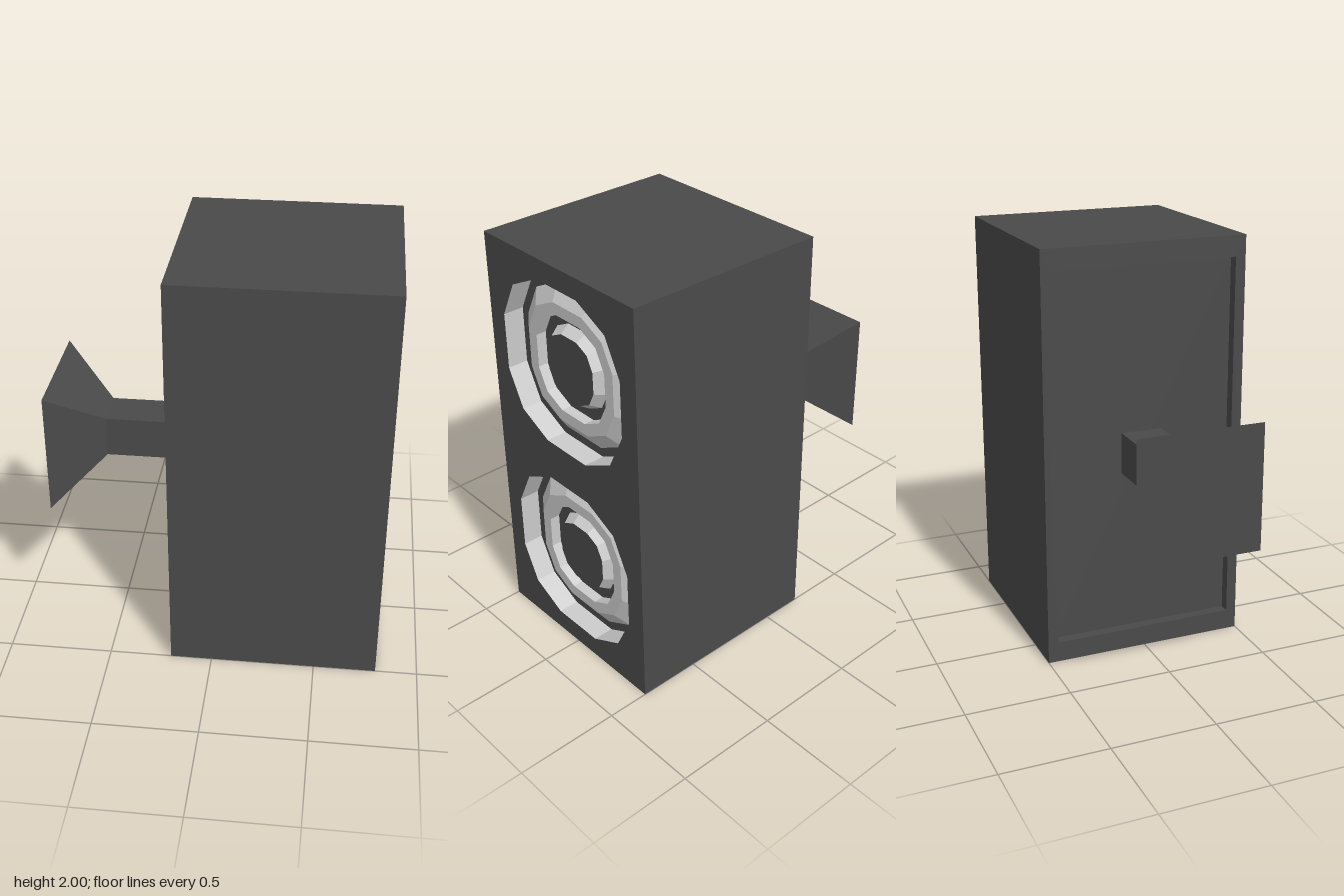
import * as THREE from 'three';

const dark = new THREE.MeshStandardMaterial({ color: 0x4a4a4a });
const grey = new THREE.MeshStandardMaterial({ color: 0xcccccc });

// Unit outlines, counter-clockwise when seen from +x (first value runs along -z)
const square = [[1, -1], [1, 1], [-1, 1], [-1, -1]];
const round = [];
for (let q = 0; q < 4; q++) {
  const c = [1, 0, -1, 0][q], s = [0, 1, 0, -1][q];
  for (const [u, v] of [[1, -0.34], [1, 0.34], [0.78, 0.78]]) round.push([u * c - v * s, u * s + v * c]);
}

// Flat-shaded skin through sections [halfWidth, halfHeight, x]; a zero-size section closes the end
function loft(name, outline, sections, material) {
  const pos = [];
  const at = ([w, h, x], i) => {
    const [u, v] = outline[i % outline.length];
    return [x, v * h, -u * w];
  };
  for (let k = 0; k + 1 < sections.length; k++) {
    const a = sections[k], b = sections[k + 1];
    for (let i = 0; i < outline.length; i++) {
      if (a[0] > 0) pos.push(...at(a, i), ...at(a, i + 1), ...at(b, i + 1));
      if (b[0] > 0) pos.push(...at(a, i), ...at(b, i + 1), ...at(b, i));
    }
  }
  const geometry = new THREE.BufferGeometry();
  geometry.setAttribute('position', new THREE.Float32BufferAttribute(pos, 3));
  geometry.computeVertexNormals();
  const mesh = new THREE.Mesh(geometry, material);
  mesh.name = name;
  return mesh;
}

// Ring-shaped speaker part from [radius, x] pairs, listed from outside to centre
const ring = (name, profile, material) =>
  loft(name, round, profile.map(([r, x]) => [r, r, x]), material);

function speaker(y) {
  const g = new THREE.Group();
  g.name = 'speaker';
  g.add(
    ring('recessWall', [[0.4, 0.8], [0.4, 0.7]], grey),
    ring('outerFloor', [[0.4, 0.7], [0.36, 0.7]], dark),
    ring('surround', [[0.36, 0.7], [0.29, 0.75], [0.235, 0.75], [0.235, 0.7]], grey),
    ring('innerFloor', [[0.235, 0.7], [0.185, 0.7]], dark),
    ring('capRim', [[0.185, 0.7], [0.155, 0.75]], grey),
    ring('cap', [[0.155, 0.75], [0, 0.75]], dark),
  );
  g.position.y = y;
  return g;
}

export function createModel() {
  const model = new THREE.Group();
  model.name = 'wallSpeaker';
  const speakerHeights = [0.5, 1.5];

  // Cabinet: recessed rear panel, rear frame and four sides
  const cabinet = loft('cabinet', square, [
    [0, 0, -0.15], [0.45, 0.9, -0.15], [0.45, 0.9, -0.2], [0.5, 1, -0.2], [0.5, 1, 0.8],
  ], dark);
  cabinet.position.y = 1;
  model.add(cabinet);

  // Baffle with an opening for each speaker
  const face = new THREE.Shape([[-0.5, 0], [0.5, 0], [0.5, 2], [-0.5, 2]].map(p => new THREE.Vector2(...p)));
  for (const y of speakerHeights) {
    face.holes.push(new THREE.Path(round.map(([u, v]) => new THREE.Vector2(u * 0.4, v * 0.4 + y))));
    model.add(speaker(y));
  }
  const baffle = new THREE.Mesh(new THREE.ShapeGeometry(face).rotateY(Math.PI / 2).translate(0.8, 0, 0), dark);
  baffle.name = 'baffle';
  model.add(baffle);

  // Wall mount: flared foot, then a square arm reaching the rear panel
  const foot = loft('mountFoot', square, [[0, 0, -0.8], [0.3, 0.3, -0.8], [0.1, 0.1, -0.55]], dark);
  const arm = loft('mountArm', square, [[0.1, 0.1, -0.55], [0.1, 0.1, -0.15]], dark);
  for (const part of [foot, arm]) {
    part.position.y = 1;
    model.add(part);
  }
  return model;
}
